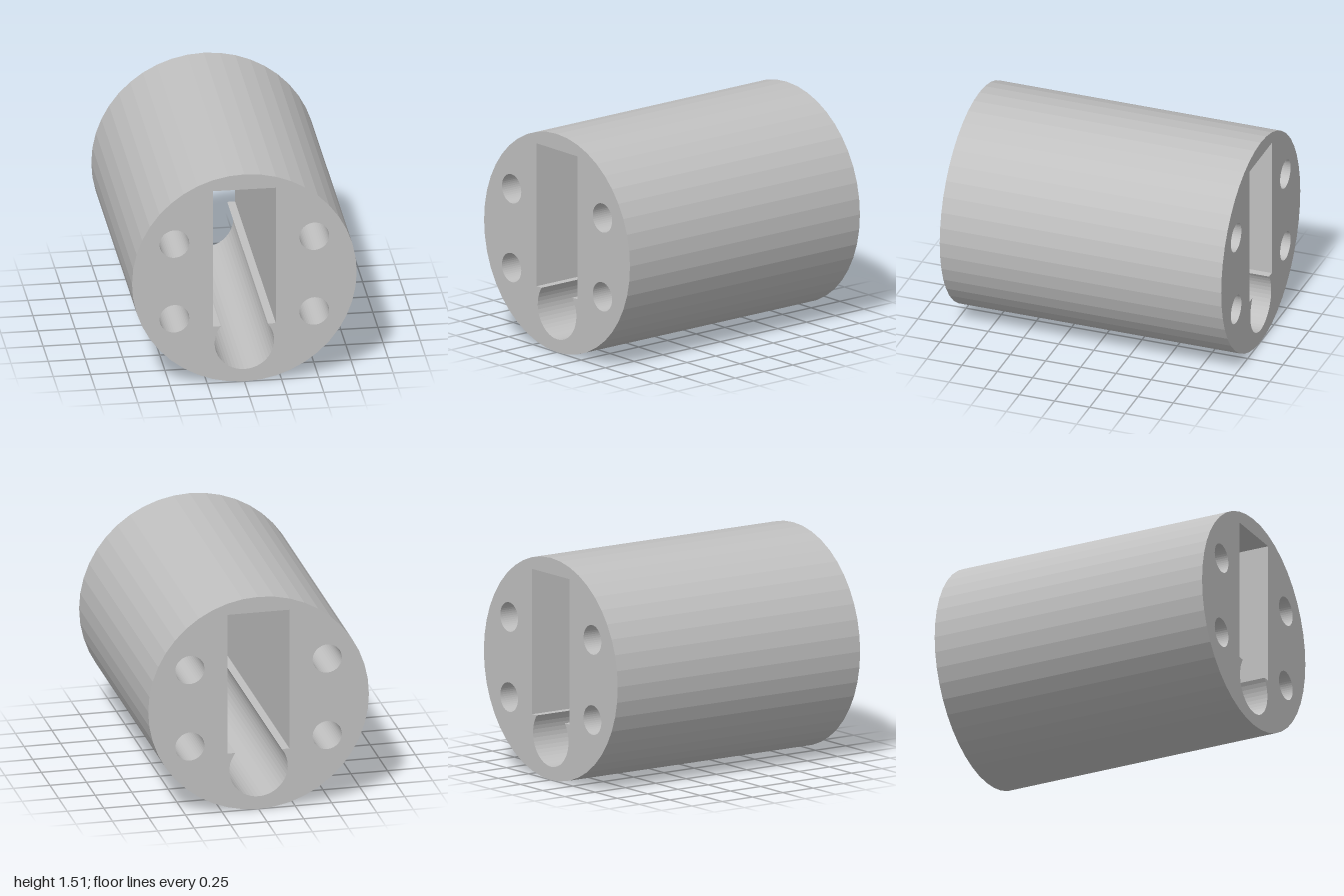
import * as THREE from 'three';

const SIDES = 44;
const RADIUS = 0.755;
const LENGTH = 2;

// Points along an arc, both ends included
function arc(cx, cy, r, start, end, steps) {
  return Array.from({ length: steps + 1 }, (_, i) => {
    const a = start + ((end - start) * i) / steps;
    return new THREE.Vector2(cx + r * Math.cos(a), cy + r * Math.sin(a));
  });
}

// Closed circle without a repeated last point
function circle(cx, cy, r) {
  return arc(cx, cy, r, 0, Math.PI * 2, SIDES).slice(0, -1);
}

export function createModel() {
  const grey = new THREE.MeshStandardMaterial({ color: 0xc0c0c0 });
  grey.name = 'plain grey';

  // Faceted round body
  const profile = new THREE.Shape(circle(0, RADIUS, RADIUS));

  // Four small through-holes
  for (const x of [-0.47, 0.47]) {
    for (const y of [0.485, 1.03]) profile.holes.push(new THREE.Path(circle(x, y, 0.1)));
  }

  // Tall slot opening into a round channel below it
  const channelY = 0.29, channelR = 0.2, slotX = 0.211, slotBottom = 0.412, slotTop = 1.4;
  const a = Math.asin((slotBottom - channelY) / channelR);
  profile.holes.push(new THREE.Path([
    new THREE.Vector2(slotX, slotBottom),
    new THREE.Vector2(slotX, slotTop),
    new THREE.Vector2(-slotX, slotTop),
    new THREE.Vector2(-slotX, slotBottom),
    ...arc(0, channelY, channelR, Math.PI - a, Math.PI * 2 + a, 32),
  ]));

  const geometry = new THREE.ExtrudeGeometry(profile, { depth: LENGTH, bevelEnabled: false });
  geometry.translate(0, 0, -LENGTH / 2);

  const body = new THREE.Mesh(geometry, grey);
  body.name = 'slottedCylinder';

  const group = new THREE.Group();
  group.name = 'slottedHousing';
  group.add(body);
  return group;
}
